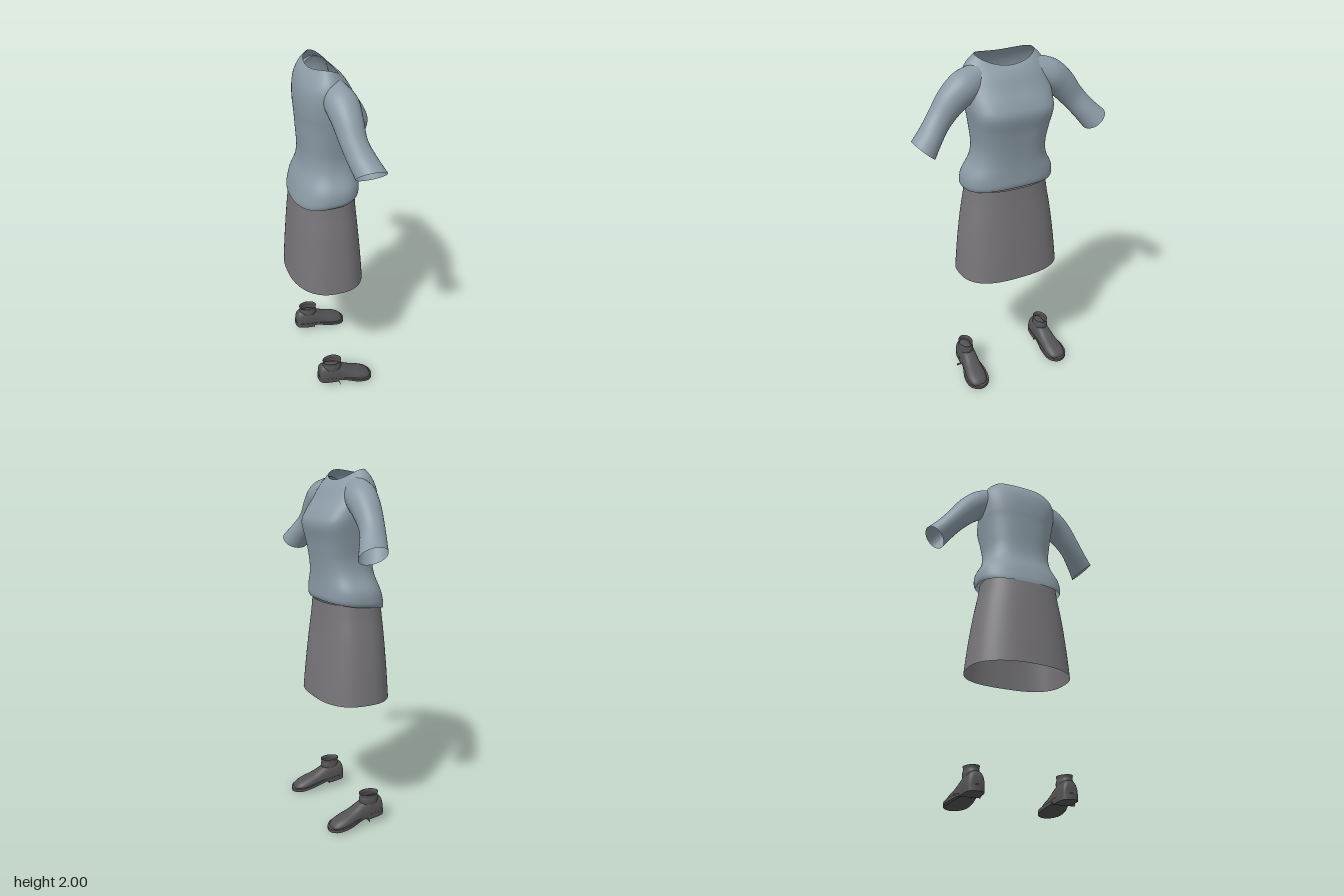
import * as THREE from 'three';

const mat = (name, color, side = THREE.FrontSide) => {
  const m = new THREE.MeshStandardMaterial({ color, side });
  m.name = name;
  return m;
};

// Surface through closed rings of points
function loft(rings) {
  const n = rings[0].length, index = [];
  for (let i = 0; i < rings.length - 1; i++) {
    for (let j = 0; j < n; j++) {
      const a = i * n + j, b = i * n + (j + 1) % n;
      index.push(a, a + n, b, b, a + n, b + n);
    }
  }
  const g = new THREE.BufferGeometry();
  g.setAttribute('position', new THREE.Float32BufferAttribute(rings.flat(2), 3));
  g.setIndex(index);
  g.computeVertexNormals();
  return g;
}

// Catmull-Rom smoothing of section rows
function smooth(rows, steps) {
  const out = [], last = rows.length - 1;
  const at = i => rows[Math.min(last, Math.max(0, i))];
  for (let i = 0; i < last; i++) {
    for (let s = 0; s < steps; s++) {
      const t = s / steps;
      out.push(at(i).map((p1, k) => {
        const p0 = at(i - 1)[k], p2 = at(i + 1)[k], p3 = at(i + 2)[k];
        return 0.5 * (2 * p1 + (p2 - p0) * t + (2 * p0 - 5 * p1 + 4 * p2 - p3) * t * t
          + (3 * p1 - p0 - 3 * p2 + p3) * t * t * t);
      }));
    }
  }
  out.push(rows[last]);
  return out;
}

const ring = (n, f) => Array.from({ length: n }, (_, j) => {
  const a = j / n * Math.PI * 2;
  return f(Math.cos(a), Math.sin(a));
});
const pw = (v, e) => Math.sign(v) * Math.abs(v) ** e;

// Horizontal section: height, back x, front x, half width, back and front squareness, tilt, side lift
const bodyRing = ([y, xb, xf, hz, nb, nf, tilt, lift]) => ring(64, (c, s) => {
  const n = c > 0 ? nf : nb, mid = (xb + xf) / 2, r = (xf - xb) / 2;
  return [mid + r * pw(c, 2 / n), y + tilt * c + lift * s * s, hz * pw(s, 2 / n)];
});

const TORSO = [
  [1.272, -0.198, 0.16, 0.252, 2.4, 2.8, 0.025, 0],
  [1.30, -0.195, 0.166, 0.262, 2.4, 2.8, 0.02, 0],
  [1.36, -0.178, 0.165, 0.255, 2.4, 2.8, 0.01, 0],
  [1.44, -0.148, 0.165, 0.215, 2.4, 2.8, 0, 0],
  [1.52, -0.14, 0.172, 0.202, 2.4, 2.9, 0, 0],
  [1.62, -0.145, 0.186, 0.213, 2.4, 3.2, 0, 0],
  [1.71, -0.15, 0.203, 0.228, 2.4, 3.4, 0, 0],
  [1.77, -0.155, 0.184, 0.236, 2.4, 3.0, 0, 0],
  [1.84, -0.155, 0.14, 0.24, 2.3, 2.6, 0, 0],
  [1.90, -0.146, 0.107, 0.235, 2.2, 2.2, 0, 0.008],
  [1.94, -0.127, 0.08, 0.208, 2, 2, -0.008, 0.022],
  [1.965, -0.096, 0.058, 0.168, 2, 2, -0.02, 0.034],
];

const SKIRT = [
  [0.73, -0.23, 0.2, 0.305, 2.3, 2.7, 0, 0],
  [0.9, -0.22, 0.186, 0.288, 2.3, 2.7, 0, 0],
  [1.08, -0.207, 0.168, 0.264, 2.3, 2.7, 0, 0],
  [1.2, -0.197, 0.156, 0.242, 2.3, 2.7, 0, 0],
  [1.285, -0.188, 0.15, 0.23, 2.3, 2.7, 0, 0],
];

// Sleeve sections: x, y, z, x radius, cross radius, downward angle
const SLEEVE = [
  [0.0, 1.885, 0.15, 0.07, 0.08, 0.3],
  [0.015, 1.855, 0.24, 0.085, 0.088, 0.55],
  [0.022, 1.795, 0.32, 0.077, 0.08, 0.75],
  [0.03, 1.715, 0.39, 0.068, 0.068, 0.82],
  [0.055, 1.645, 0.45, 0.074, 0.066, 0.83],
  [0.083, 1.583, 0.506, 0.081, 0.073, 0.83],
];
const sleeveGeometry = side => loft(smooth(SLEEVE, 6).map(([x, y, z, rx, rv, d]) =>
  ring(32, (c, s) => {
    const v = -side * s * rv;
    return [x + rx * c, y + v * Math.cos(d), side * (z + v * Math.sin(d))];
  })));

// Underside height of the shoe along its length
const soleY = x => 0.05 - (x > 0 ? 0.2 : 0.09) * x;

// Shoe sections: x, top, side position, half width
const UPPER = [
  [-0.114, 0.085, 0.265, 0.012],
  [-0.11, 0.132, 0.265, 0.036],
  [-0.09, 0.155, 0.266, 0.048],
  [-0.03, 0.155, 0.267, 0.052],
  [0.02, 0.137, 0.269, 0.052],
  [0.08, 0.104, 0.273, 0.056],
  [0.14, 0.08, 0.277, 0.061],
  [0.185, 0.06, 0.279, 0.053],
  [0.208, 0.042, 0.279, 0.035],
  [0.214, 0.028, 0.279, 0.01],
];
const upperGeometry = side => loft(smooth(UPPER, 5).map(([x, top, z, hz]) =>
  ring(32, (c, s) => {
    const base = soleY(x) + 0.01;
    return [x, base + Math.max(0, top - base) * Math.max(0, s) ** 0.85, side * z + hz * pw(c, 0.75)];
  })));

const SOLE = [[-0.12, 0.265], [-0.105, 0.308], [-0.04, 0.319], [0.03, 0.322], [0.12, 0.347], [0.19, 0.34],
  [0.224, 0.3], [0.224, 0.255], [0.19, 0.215], [0.12, 0.204], [0.03, 0.214], [-0.04, 0.212], [-0.105, 0.224]];

// Plate following the shoe outline, bent to the underside
function soleGeometry(side, xMax, low, high) {
  const curve = new THREE.CatmullRomCurve3(SOLE.map(([x, z]) => new THREE.Vector3(x, side * z, 0)), true);
  const pts = curve.getPoints(60).slice(0, -1).map(p => new THREE.Vector2(Math.min(p.x, xMax), p.y));
  const g = new THREE.ExtrudeGeometry(new THREE.Shape(pts), { depth: high - low, bevelEnabled: false });
  g.rotateX(Math.PI / 2);
  const p = g.attributes.position;
  for (let i = 0; i < p.count; i++) p.setY(i, p.getY(i) + high + soleY(p.getX(i)));
  g.computeVertexNormals();
  return g;
}

export function createModel() {
  const model = new THREE.Group();
  const blue = mat('blueGreyKnit', 0x8b9ba6, THREE.DoubleSide);
  const grey = mat('greyCloth', 0x777579, THREE.DoubleSide);
  const dark = mat('darkLeather', 0x525153, THREE.DoubleSide);
  const add = (parent, name, geometry, material) => {
    const m = new THREE.Mesh(geometry, material);
    m.name = name;
    parent.add(m);
  };

  // Top with sleeves, and skirt
  add(model, 'topBody', loft(smooth(TORSO, 5).map(bodyRing)), blue);
  add(model, 'skirt', loft(smooth(SKIRT, 4).map(bodyRing)), grey);

  // The model looks along +x, so pairs mirror across z
  for (const side of [1, -1]) {
    const label = side > 0 ? 'near' : 'far';
    add(model, label + 'Sleeve', sleeveGeometry(side), blue);

    const shoe = new THREE.Group();
    shoe.name = label + 'Shoe';
    add(shoe, 'upper', upperGeometry(side), dark);
    add(shoe, 'sole', soleGeometry(side, 1, 0, 0.018), dark);
    add(shoe, 'heel', soleGeometry(side, 0, -0.013, 0.002), dark);
    // Open ankle collar
    const collar = [[0.125, 0.056, 0.044], [0.15, 0.059, 0.044], [0.17, 0.055, 0.039], [0.187, 0.059, 0.042]];
    add(shoe, 'collar', loft(smooth(collar, 3).map(([y, rx, rz]) =>
      ring(32, (c, s) => [-0.031 + rx * c, y, side * 0.27 + rz * s]))), dark);
    model.add(shoe);
  }
  return model;
}
